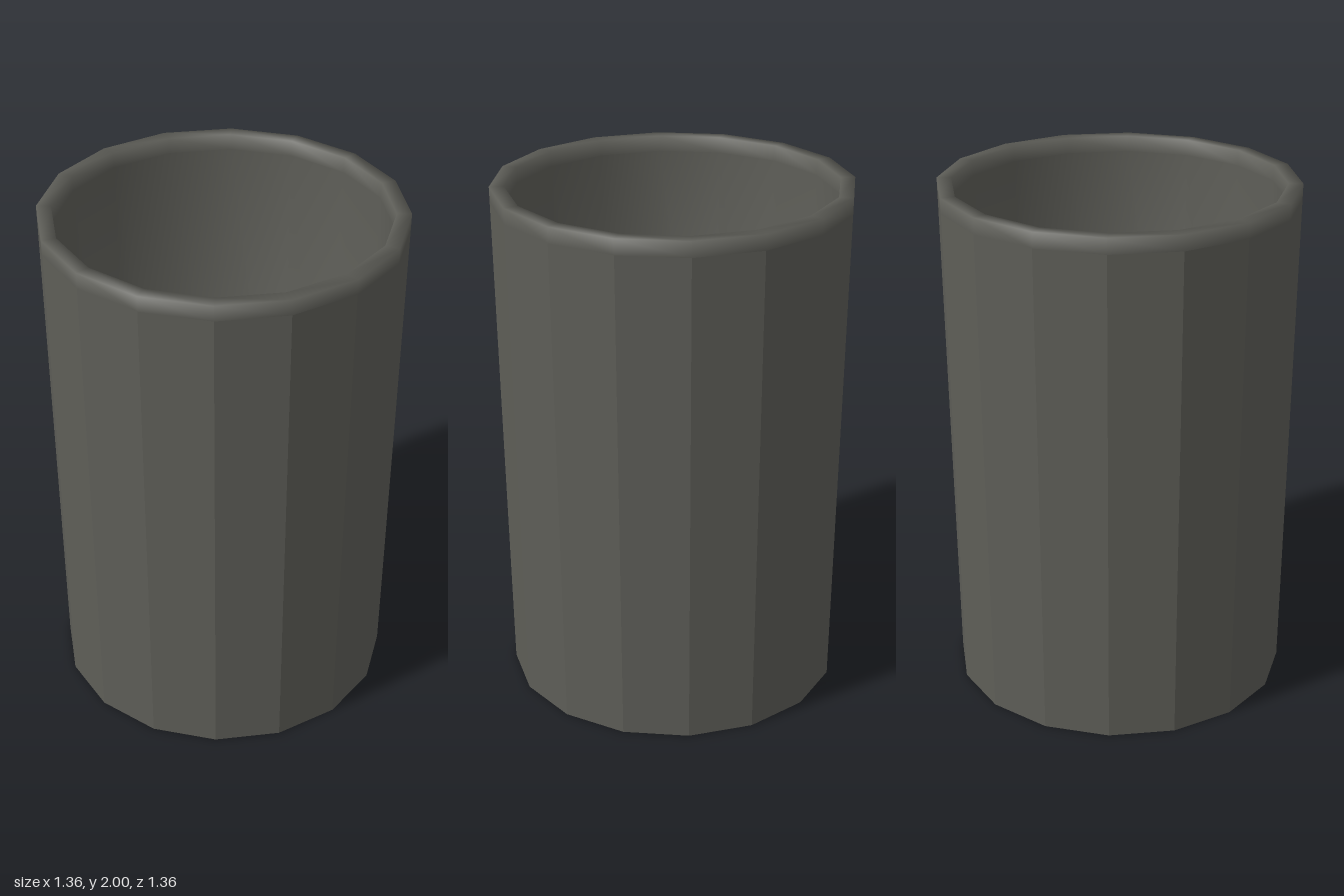
import * as THREE from 'three';

const SIDES = 16;

// Sixteen-sided surface of revolution from [radius, height] pairs
function lathe(profile) {
  return new THREE.LatheGeometry(profile.map(([r, y]) => new THREE.Vector2(r, y)), SIDES);
}

// Hard edges between the panels
function faceted(geometry) {
  const flat = geometry.toNonIndexed();
  flat.computeVertexNormals();
  return flat;
}

export function createModel() {
  const group = new THREE.Group();
  group.name = 'cup';
  const charcoal = new THREE.MeshStandardMaterial({ color: 0x5e5e58 });
  charcoal.name = 'charcoal';

  function add(name, geometry) {
    const mesh = new THREE.Mesh(geometry, charcoal);
    mesh.name = name;
    group.add(mesh);
  }

  // Slightly flared outer wall with flat panels
  add('outerWall', faceted(lathe([[0.65, 0], [0.679, 1.94]])));

  // Softly shaded lip
  add('rim', lathe([[0.679, 1.94], [0.68, 2], [0.625, 2], [0.622, 1.94]]));

  // Hollow inside, blending into the floor
  add('interior', lathe([[0.622, 1.94], [0.6, 0.05], [0, 0.05]]));

  // Closed underside
  add('base', lathe([[0, 0], [0.65, 0]]));

  return group;
}
